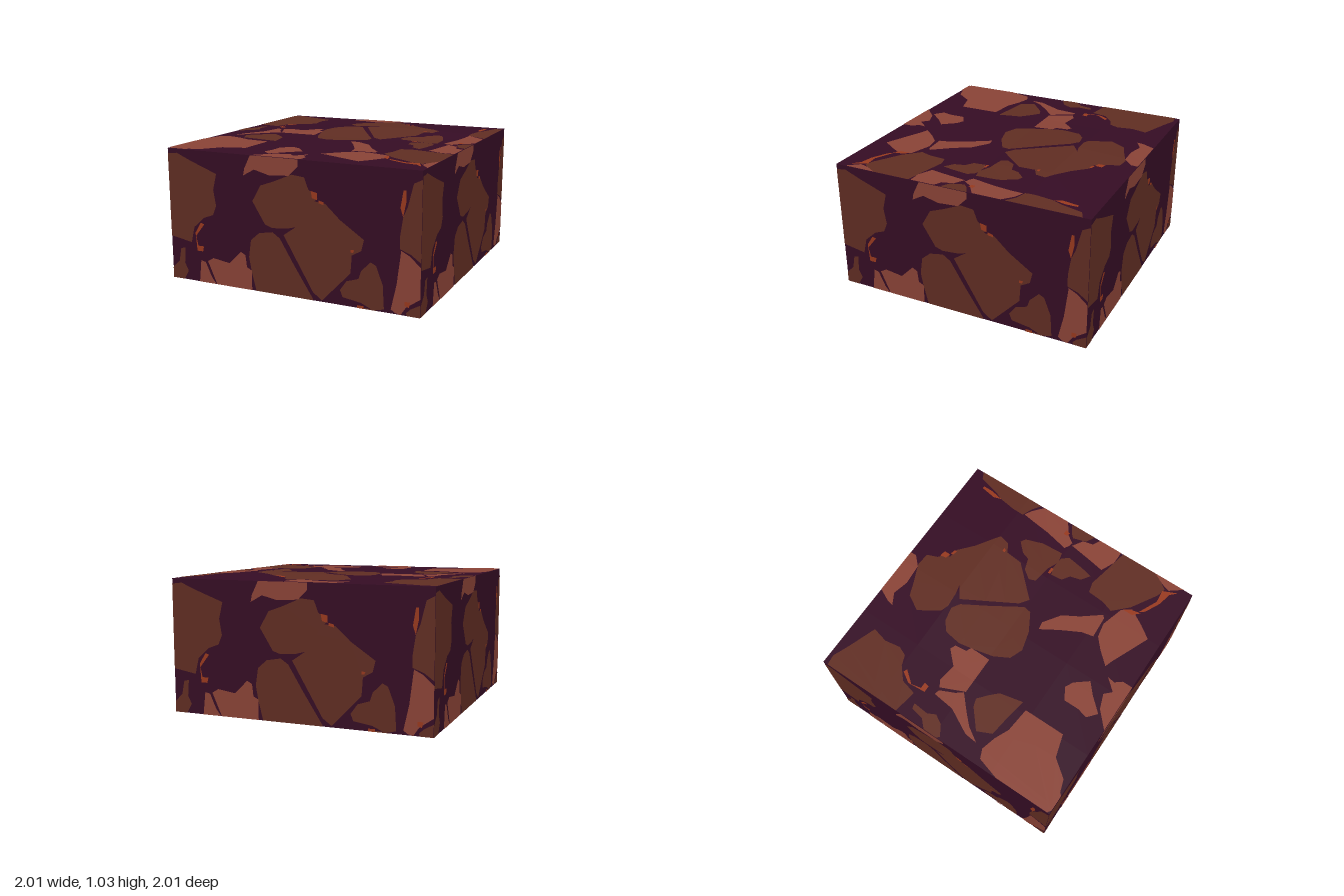
import * as THREE from 'three';

// Outlines of the stones on a 2 x 2 tile: flat lists of x, z
const patches = { brownStones: [], paleStones: [], orangeFlecks: [] };
const brown = (...p) => patches.brownStones.push(p);
const pale = (...p) => patches.paleStones.push(p);
const fleck = (...p) => patches.orangeFlecks.push(p);

// Brown stones
brown(-1, -.96, -.92, -.97, -.8, -.92, -.58, -.84, -.61, -.72, -.59, -.6, -.62, -.53, -.7, -.5, -.79, -.42, -.82, -.3, -1, -.33);
brown(.04, -.89, .14, -.88, .17, -.8, .24, -.74, .17, -.67, .11, -.53, 0, -.5, -.12, -.49, -.18, -.51, -.28, -.67, -.21, -.79, -.1, -.83);
brown(.21, -.72, .3, -.71, .41, -.61, .59, -.49, .57, -.41, .5, -.37, .49, -.24, .27, -.01, .2, -.06, .07, -.28, -.03, -.45, .1, -.54, .13, -.65);
brown(-.3, -.38, -.23, -.44, -.12, -.46, -.06, -.42, .05, -.24, .2, -.01, .19, .05, .05, .13, -.1, .17, -.2, .13, -.26, .02, -.3, -.14, -.32, -.25);
brown(.57, -.27, .64, -.34, .68, -.32, .73, -.19, .74, -.02, .66, 0, .57, -.04, .43, -.06, .41, -.11, .46, -.18, .55, -.21);
brown(1, -.94, .94, -.91, .9, -.75, .87, -.68, .85, -.55, .85, -.46, .93, -.43, 1, -.38);
brown(-.92, -.24, -.88, -.25, -.89, -.13, -.86, -.07, -.9, 0, -.98, .05, -1, .03, -1, -.08, -.94, -.14);
brown(1, -.09, .93, -.05, .9, -.02, .93, .08, 1, .12);
brown(-.66, .12, -.6, .1, -.53, .16, -.47, .22, -.43, .4, -.6, .37, -.75, .35, -.8, .24, -.73, .18);
brown(.54, .01, .6, -.01, .7, 0, .74, .05, .72, .18, .7, .27, .63, .22, .61, .14, .55, .1);
brown(.58, .33, .66, .31, .8, .34, 1, .38, 1, .68, .92, .8, .85, .78, .75, .72, .65, .66, .54, .55, .57, .46);

// Pale stones
pale(-.29, -1, .09, -1, .09, -.95, .02, -.88, -.14, -.87, -.26, -.9, -.35, -.85, -.34, -.9);
pale(-.39, -.28, -.35, -.26, -.34, -.17, -.3, -.15, -.3, .01, -.6, .01, -.68, -.17, -.63, -.2, -.49, -.18);
pale(-.74, -.17, -.7, -.16, -.65, -.05, -.61, 0, -.72, .1, -.8, .18, -.87, .29, -.86, .19, -.76, 0);
pale(.86, -.45, .92, -.42, 1, -.35, 1, -.13, .9, -.06, .86, 0, .82, -.01, .79, -.03, .83, -.21);
pale(.84, .01, .92, .06, .94, .14, 1, .17, 1, .36, .9, .36, .79, .31, .81, .2);
pale(.11, .18, .17, .17, .3, .26, .37, .38, .48, .52, .46, .54, .29, .55, .27, .46, .19, .31);
pale(-.95, .38, -.88, .35, -.77, .38, -.66, .43, -.47, .45, -.47, .77, -.64, .82, -.74, .95, -.83, .98, -.85, 1, -.97, 1, -1, .98, -1, .55);
pale(-.25, .64, -.16, .59, -.1, .62, -.02, .72, -.1, .79, -.2, .9, -.27, .84, -.25, .76);
pale(-.28, 1, -.16, .89, -.05, .85, 0, .9, .08, .81, .07, .87, .11, .92, .11, 1);
pale(.14, .75, .23, .65, .31, .58, .42, .56, .59, .61, .64, .68, .57, .8, .5, .9, .36, .84, .2, .77);
pale(1, .67, .95, .76, .93, .83, 1, .92);

// Orange flecks
fleck(-.73, -.46, -.7, -.45, -.78, -.35, -.76, -.28, -.71, -.28, -.72, -.24, -.77, -.24, -.78, -.38);
fleck(.19, -.79, .24, -.78, .24, -.73, .2, -.74);
fleck(.25, -.73, .29, -.72, .29, -.7, .25, -.71);
fleck(.87, -.86, .89, -.86, .89, -.78, .87, -.68, .85, -.74);
fleck(.49, -.41, .52, -.41, .51, -.39, .49, -.39);
fleck(.6, .62, .63, .66, .65, .75, .6, .7);
fleck(.65, .73, .8, .8, .9, .79, .95, .9, .9, .85, .8, .83, .68, .77);
fleck(.89, -.1, .93, -.1, .92, -.06, .89, -.07);
fleck(.54, -.02, .59, -.02, .59, 0, .54, 0);

// Triangles of an outline, counter-clockwise, with tile z turned into local -y
function triangles(flat) {
  const pts = [];
  for (let i = 0; i < flat.length; i += 2) pts.push(new THREE.Vector2(flat[i], -flat[i + 1]));
  if (THREE.ShapeUtils.isClockWise(pts)) pts.reverse();
  return THREE.ShapeUtils.triangulateShape(pts, []).map((t) => t.map((i) => pts[i]));
}

// Cut a convex polygon to a convex counter-clockwise cell
function clip(poly, cell) {
  cell.forEach((a, i) => {
    const b = cell[(i + 1) % cell.length], out = [];
    const side = (p) => (b.x - a.x) * (p.y - a.y) - (b.y - a.y) * (p.x - a.x);
    poly.forEach((p, j) => {
      const q = poly[(j + 1) % poly.length], sp = side(p), sq = side(q);
      if (sp >= 0) out.push(p);
      if (sp * sq < 0) {
        const t = sp / (sp - sq);
        out.push(new THREE.Vector2(p.x + (q.x - p.x) * t, p.y + (q.y - p.y) * t));
      }
    });
    poly = out;
  });
  return poly;
}

// Lay polygons on the planes of the cells, raised by a small lift
function layer(name, polys, cells, lift, material) {
  const pos = [];
  for (const cell of cells) {
    const plane = new THREE.Plane().setFromCoplanarPoints(cell[0], cell[1], cell[2]);
    const n = plane.normal;
    const put = (p) => pos.push(p.x, p.y, lift - (n.x * p.x + n.y * p.y + plane.constant) / n.z);
    for (const poly of polys) {
      const c = clip(poly, cell);
      for (let i = 1; i + 1 < c.length; i++) [c[0], c[i], c[i + 1]].forEach(put);
    }
  }
  const g = new THREE.BufferGeometry();
  g.setAttribute('position', new THREE.Float32BufferAttribute(pos, 3));
  g.computeVertexNormals();
  const mesh = new THREE.Mesh(g, material);
  mesh.name = name;
  return mesh;
}

export function createModel() {
  const mat = (name, color) => Object.assign(new THREE.MeshStandardMaterial({ color }), { name });
  const ground = mat('dark purple', 0x360d25);
  const colours = {
    brownStones: mat('brown', 0x622e23),
    paleStones: mat('pale red brown', 0x8c4437),
    orangeFlecks: mat('burnt orange', 0x9a3a1e),
  };
  const tile = triangles([-1, -1, 1, -1, 1, 1, -1, 1]);
  const v = (x, y, z = 0) => new THREE.Vector3(x, y, z);

  // One face of the block: ground plus three layers of stone
  function face(name, cells) {
    const group = new THREE.Group();
    group.name = name;
    group.add(layer('ground', tile, cells, 0, ground));
    Object.keys(patches).forEach((key, i) => {
      group.add(layer(key, patches[key].flatMap(triangles), cells, 0.002 + i * 0.001, colours[key]));
    });
    return group;
  }

  const model = new THREE.Group();
  model.name = 'stoneBlock';

  // Four walls, each carrying the back half of the tile
  ['frontWall', 'rightWall', 'backWall', 'leftWall'].forEach((name, i) => {
    const wall = face(name, [[v(-1, 0, 1), v(1, 0, 1), v(1, 1, 1), v(-1, 1, 1)]]);
    wall.rotation.y = -i * Math.PI / 2;
    model.add(wall);
  });

  // Underside
  const base = face('underside', [[v(-1, -1), v(1, -1), v(1, 1), v(-1, 1)]]);
  base.rotation.x = Math.PI / 2;
  model.add(base);

  // Top: a 4 x 4 grid with two raised points forming a low mound
  const at = (x, y) => v(x, y, y === 0.5 && (x === 0 || x === 0.5) ? 1.025 : 1);
  const cells = [];
  for (let x = -1; x < 1; x += 0.5) {
    for (let y = -1; y < 1; y += 0.5) {
      const a = at(x, y), b = at(x + 0.5, y), c = at(x + 0.5, y + 0.5), d = at(x, y + 0.5);
      cells.push([a, b, c], [a, c, d]);
    }
  }
  const top = face('moundedTop', cells);
  top.rotation.x = -Math.PI / 2;
  model.add(top);

  return model;
}
